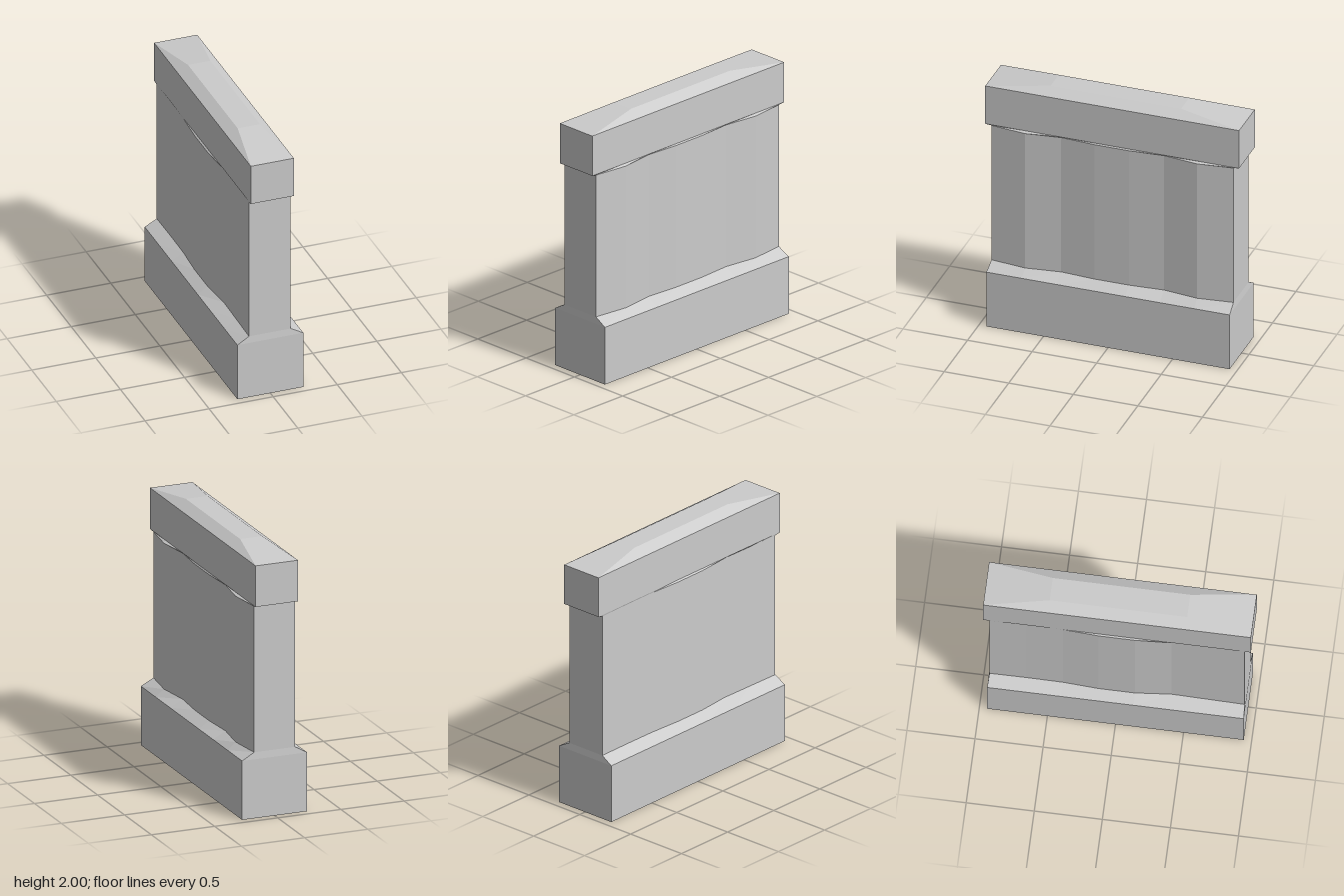
import * as THREE from 'three';

// Stations along the length, as fractions of the half length
const STATIONS = [1, 0.71, 0.425, 0.142, -0.142, -0.425, -0.71, -1];

// Closed ring, counter-clockwise from above: up the +x side, back down the -x side
function ring(y, halfLength, right, left) {
  const z = STATIONS.map((s) => s * halfLength);
  return [
    ...z.map((v, i) => [right[i], y, v]),
    ...z.map((v, i) => [left[i], y, v]).reverse(),
  ];
}

function rect(y, halfWidth, halfLength) {
  return ring(y, halfLength, STATIONS.map(() => halfWidth), STATIONS.map(() => -halfWidth));
}

// Skin a list of rings from bottom to top
function loft(name, rings, material) {
  const positions = [];
  for (let k = 0; k < rings.length - 1; k++) {
    const lower = rings[k], upper = rings[k + 1], n = lower.length;
    for (let i = 0; i < n; i++) {
      const j = (i + 1) % n;
      positions.push(...lower[i], ...lower[j], ...upper[j]);
      positions.push(...lower[i], ...upper[j], ...upper[i]);
    }
  }
  const geometry = new THREE.BufferGeometry();
  geometry.setAttribute('position', new THREE.Float32BufferAttribute(positions, 3));
  geometry.computeVertexNormals();
  const mesh = new THREE.Mesh(geometry, material);
  mesh.name = name;
  return mesh;
}

export function createModel() {
  const stone = new THREE.MeshStandardMaterial({ color: 0xcccccc, flatShading: true });

  // Uneven wall faces, front end to back end
  const right = [0.16, 0.192, 0.158, 0.176, 0.176, 0.158, 0.192, 0.16];
  const left = [-0.165, -0.16, -0.155, -0.18, -0.18, -0.165, -0.163, -0.165];
  const wallBottom = ring(0.505, 0.937, right, left);
  const wallTop = ring(1.625, 0.937, right, left);

  const group = new THREE.Group();
  group.name = 'wallSegment';
  group.add(
    // Plinth block with a sloped shoulder running up to the wall
    loft('base', [rect(0, 0, 0), rect(0, 0.257, 0.942), rect(0.452, 0.257, 0.942), wallBottom], stone),
    loft('wall', [wallBottom, wallTop], stone),
    // Coping stone with a hipped top
    loft('coping', [wallTop, rect(1.635, 0.168, 0.983), rect(1.95, 0.168, 0.983),
      rect(2, 0.087, 0.505), rect(2, 0, 0)], stone),
  );
  return group;
}
